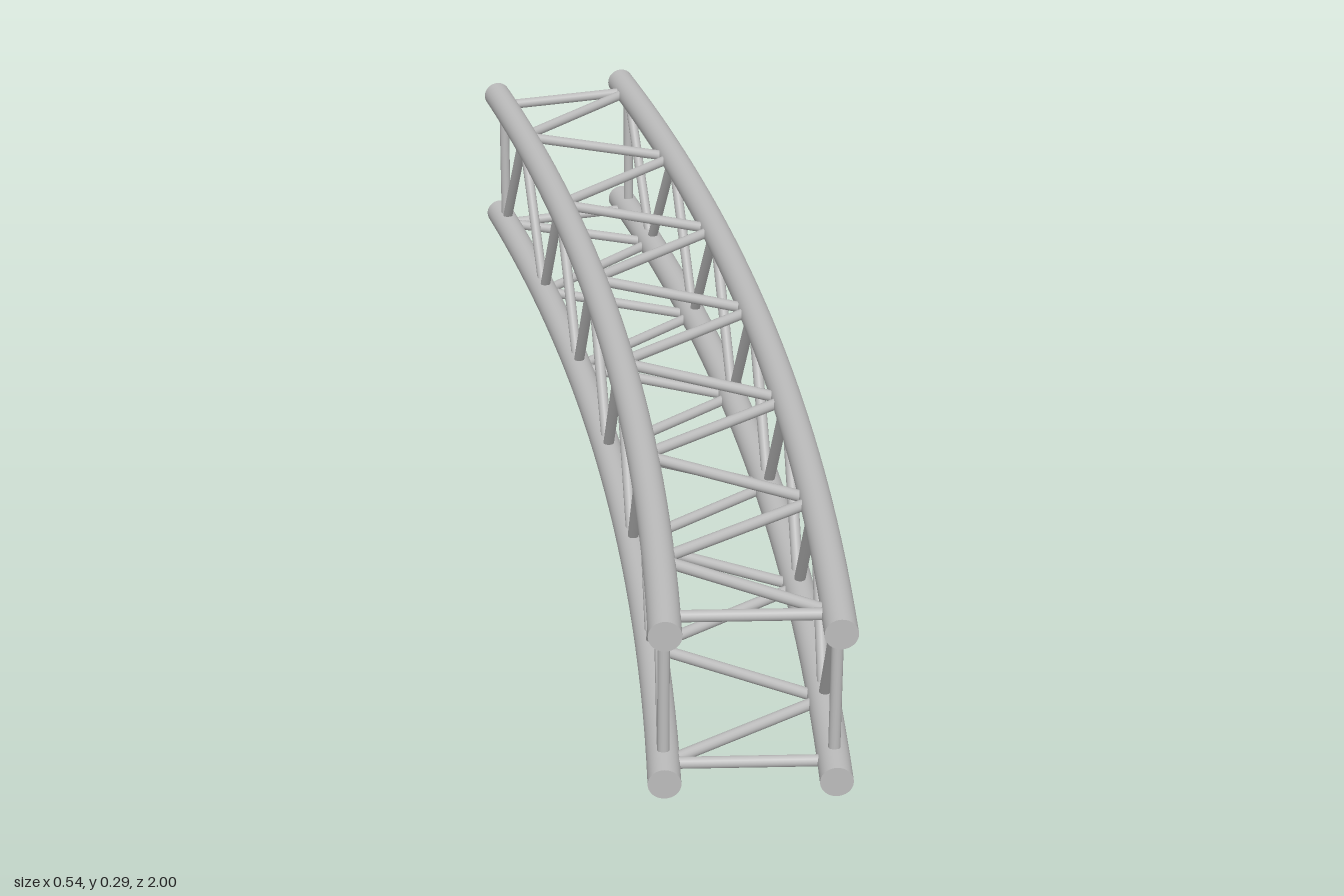
import * as THREE from 'three';

const OUTER = 7.70, INNER = 7.461;      // bend radii of the two chord planes
const SWEEP = Math.PI / 12;             // 15 degree bend
const LOW = 0.0235, HIGH = 0.2625;      // chord centre heights
const CHORD_R = 0.0235, BRACE_R = 0.0086;
const CENTRE_X = 0.246 - OUTER;         // bend centre, level with the front end
const BAYS = 12, MARGIN = 0.0071;       // lacing bays, angle left free at each end

// Point on an arc of the bend
const at = (radius, angle, y) =>
  new THREE.Vector3(CENTRE_X + radius * Math.cos(angle), y, 1 - radius * Math.sin(angle));

class Bend extends THREE.Curve {
  constructor(radius, y) {
    super();
    this.radius = radius;
    this.y = y;
  }
  getPoint(t, target = new THREE.Vector3()) {
    return target.copy(at(this.radius, t * SWEEP, this.y));
  }
}

export function createModel() {
  const model = new THREE.Group();
  model.name = 'curvedTruss';
  const metal = new THREE.MeshStandardMaterial({ color: 0xbcbcbc });
  metal.name = 'grey metal';

  const add = (name, geometry, parent = model) => {
    const mesh = new THREE.Mesh(geometry, metal);
    mesh.name = name;
    parent.add(mesh);
    return mesh;
  };

  // Straight round bar between two points
  const up = new THREE.Vector3(0, 1, 0);
  const bar = (name, a, b) => {
    const dir = b.clone().sub(a);
    const mesh = add(name, new THREE.CylinderGeometry(BRACE_R, BRACE_R, dir.length(), 16, 1, true));
    mesh.position.copy(a).add(b).multiplyScalar(0.5);
    mesh.quaternion.setFromUnitVectors(up, dir.normalize());
  };

  // Four main chords with flat end caps
  for (const radius of [OUTER, INNER]) {
    for (const y of [LOW, HIGH]) {
      const chord = new THREE.Group();
      chord.name = (radius === OUTER ? 'outer' : 'inner') + (y === LOW ? 'Lower' : 'Upper') + 'Chord';
      model.add(chord);
      const curve = new Bend(radius, y);
      add('chordTube', new THREE.TubeGeometry(curve, 32, CHORD_R, 32, false), chord);
      for (const [t, sign] of [[0, -1], [1, 1]]) {
        const cap = add('chordEndCap', new THREE.CircleGeometry(CHORD_R, 32), chord);
        cap.position.copy(curve.getPoint(t));
        const outward = at(0, 0, 0).set(-Math.sin(t * SWEEP), 0, -Math.cos(t * SWEEP)).multiplyScalar(sign);
        cap.quaternion.setFromUnitVectors(new THREE.Vector3(0, 0, 1), outward.x === 0 ? new THREE.Vector3(0, 0, 1) : outward);
      }
    }
  }

  const angle = k => MARGIN + (SWEEP - 2 * MARGIN) * k / BAYS;

  // Square frame at each end
  for (const k of [0, BAYS]) {
    const a = angle(k);
    for (const radius of [OUTER, INNER]) bar('endUpright', at(radius, a, LOW), at(radius, a, HIGH));
    for (const y of [LOW, HIGH]) bar('endCrossbar', at(INNER, a, y), at(OUTER, a, y));
  }

  // Zigzag lacing on all four faces; nodes alternate between opposite corners
  const nodes = k => {
    const even = k % 2 === 0;
    return { outer: at(OUTER, angle(k), even ? HIGH : LOW), inner: at(INNER, angle(k), even ? LOW : HIGH) };
  };
  for (let k = 0; k < BAYS; k++) {
    const a = nodes(k), b = nodes(k + 1);
    bar('outerSideBrace', a.outer, b.outer);
    bar('innerSideBrace', a.inner, b.inner);
    bar('flatBrace', a.outer, b.inner);
    bar('flatBrace', a.inner, b.outer);
  }
  return model;
}
